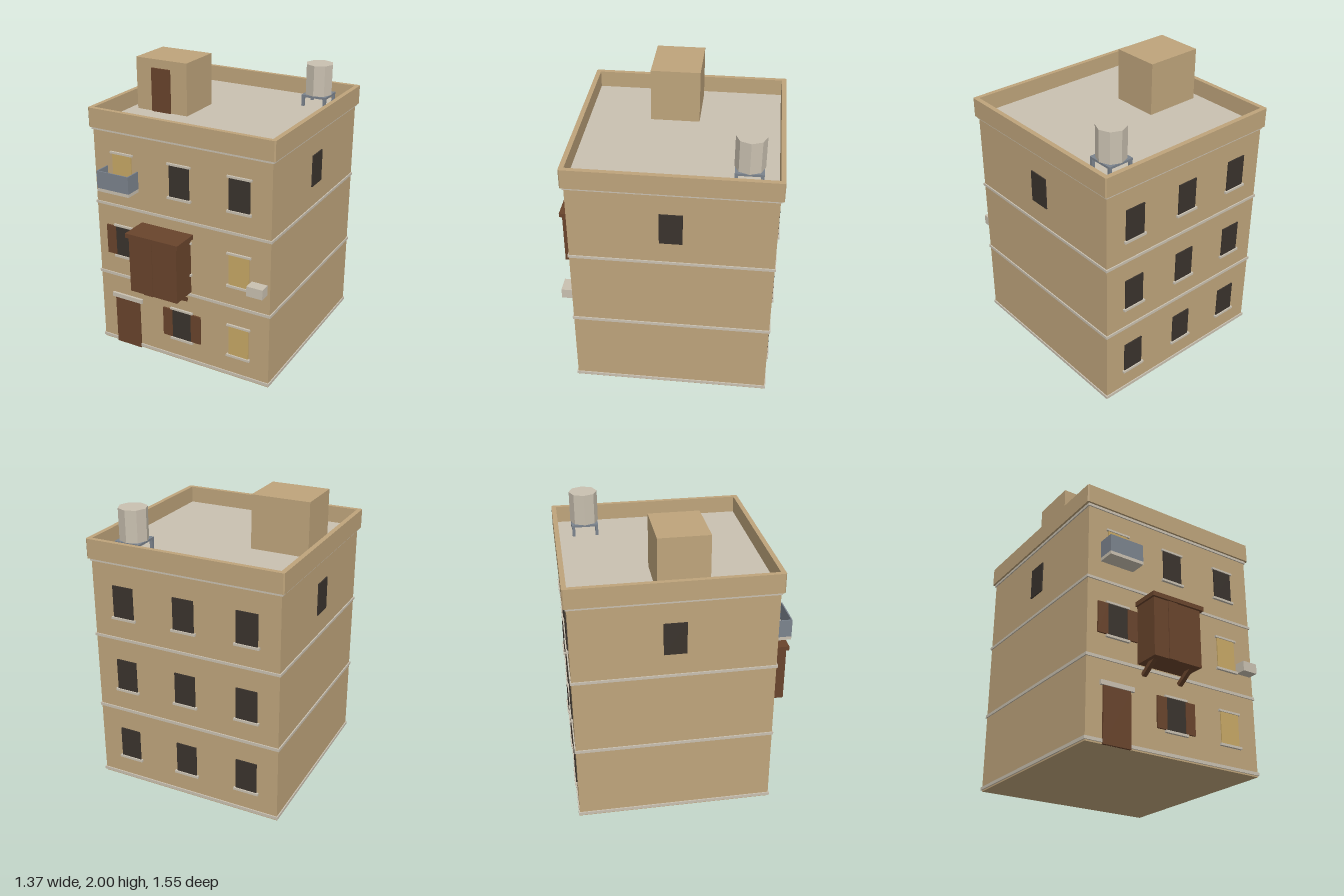
import * as THREE from 'three';

const mat = (name, color) => {
  const m = new THREE.MeshStandardMaterial({ color });
  m.name = name;
  return m;
};

export function createModel() {
  const wall = mat('sandstone wall', 0xbea47b);
  const stone = mat('pale stone', 0xc9c0b0);
  const wood = mat('brown wood', 0x69442c);
  const dark = mat('dark glass', 0x3a332d);
  const lit = mat('lit glass', 0xc7a865);
  const metal = mat('blue grey metal', 0x7b838d);

  const building = new THREE.Group();
  building.name = 'building';

  // box given by its min and max on each axis
  const box = (name, material, x0, x1, y0, y1, z0, z1, parent = building) => {
    const mesh = new THREE.Mesh(new THREE.BoxGeometry(x1 - x0, y1 - y0, z1 - z0), material);
    mesh.position.set((x0 + x1) / 2, (y0 + y1) / 2, (z0 + z1) / 2);
    mesh.name = name;
    parent.add(mesh);
    return mesh;
  };

  const CZ = -0.087, H = 0.664;            // centre depth and half width of the body
  const FRONT = CZ + H, BACK = CZ - H;

  // main block, string courses and roof deck
  box('body', wall, -H, H, 0, 1.62, BACK, FRONT);
  for (const [y0, y1] of [[0.01, 0.031], [0.536, 0.556], [1.07, 1.088], [1.6, 1.618]]) {
    box('stringCourse', stone, -0.672, 0.672, y0, y1, CZ - 0.672, CZ + 0.672);
  }
  box('roofDeck', stone, -0.66, 0.66, 1.62, 1.635, CZ - 0.66, CZ + 0.66);

  // parapet ring with slightly clipped corners
  const P = 0.686, C = 0.008, I = 0.654;
  const ring = new THREE.Shape([
    [P, P - C], [P - C, P], [C - P, P], [-P, P - C], [-P, C - P], [C - P, -P], [P - C, -P], [P, C - P],
  ].map(([x, y]) => new THREE.Vector2(x, y)));
  ring.holes.push(new THREE.Path([[-I, -I], [I, -I], [I, I], [-I, I]].map(([x, y]) => new THREE.Vector2(x, y))));
  const parapetGeo = new THREE.ExtrudeGeometry(ring, { depth: 0.132, bevelEnabled: false });
  parapetGeo.rotateX(-Math.PI / 2);
  const parapet = new THREE.Mesh(parapetGeo, wall);
  parapet.position.set(0, 1.618, CZ);
  parapet.name = 'parapet';
  building.add(parapet);

  // windows: pane with sill, optional lintel and shutters
  const ROWS = [0.175, 0.707, 1.237], COLS = [-0.442, 0, 0.44];
  const PW = 0.074, PH = 0.218;
  const frontWindow = (x, y, pane, shutters, sill = true) => {
    const g = new THREE.Group();
    g.name = 'frontWindow';
    building.add(g);
    box('pane', pane, x - PW, x + PW, y, y + PH, FRONT - 0.001, FRONT + 0.008, g);
    box('lintel', stone, x - 0.088, x + 0.088, y + PH, y + PH + 0.014, FRONT - 0.005, FRONT + 0.014, g);
    if (sill) box('sill', stone, x - 0.088, x + 0.088, y - 0.016, y, FRONT - 0.005, FRONT + 0.018, g);
    if (shutters) {
      for (const s of [-1, 1]) {
        const c = x + s * (PW + 0.037);
        box('shutter', wood, c - 0.037, c + 0.037, y + 0.003, y + PH - 0.002, FRONT - 0.002, FRONT + 0.012, g);
      }
    }
  };
  frontWindow(COLS[1], ROWS[0], dark, true);
  frontWindow(COLS[2], ROWS[0], lit, false);
  frontWindow(COLS[0], ROWS[1], dark, true);
  frontWindow(COLS[1], ROWS[1], dark, false);
  frontWindow(COLS[2], ROWS[1], lit, false);
  frontWindow(COLS[0], ROWS[2], lit, false, false);
  frontWindow(COLS[1], ROWS[2], dark, false);
  frontWindow(COLS[2], ROWS[2], dark, false);

  for (const y of ROWS) {
    for (const x of COLS) {
      box('backPane', dark, x - PW, x + PW, y, y + PH, BACK - 0.008, BACK + 0.001);
      box('backSill', stone, x - 0.088, x + 0.088, y - 0.016, y, BACK - 0.017, BACK + 0.005);
    }
  }
  for (const s of [-1, 1]) {
    const x = s * (H + 0.0035);
    box('sidePane', dark, x - 0.0045, x + 0.0045, ROWS[2], ROWS[2] + 0.221, CZ - 0.075, CZ + 0.075);
  }

  // street door
  box('door', wood, -0.546, -0.346, 0, 0.368, FRONT - 0.005, FRONT + 0.012);
  box('doorLintel', stone, -0.568, -0.322, 0.367, 0.398, FRONT - 0.005, FRONT + 0.018);

  // small balcony: slab and three panels
  const BX0 = -0.57, BX1 = -0.32, BZ = 0.693;
  box('balconySlab', stone, BX0, BX1, 1.214, 1.237, FRONT - 0.005, BZ);
  box('balconyFront', metal, BX0, BX1, 1.237, 1.358, BZ - 0.008, BZ);
  box('balconySide', metal, BX0, BX0 + 0.008, 1.237, 1.358, FRONT, BZ - 0.008);
  box('balconySide', metal, BX1 - 0.008, BX1, 1.237, 1.358, FRONT, BZ - 0.008);

  // projecting wooden bay on slanted brackets
  box('bay', wood, -0.288, 0.077, 0.567, 0.966, FRONT - 0.005, 0.758);
  box('bayPanel', wood, -0.178, -0.108, 0.567, 0.966, 0.757, 0.764);
  box('bayRoof', wood, -0.303, 0.097, 0.966, 0.997, FRONT - 0.005, 0.774);
  for (const x of [-0.245, 0.035]) {
    const bracket = new THREE.Mesh(new THREE.BoxGeometry(0.03, 0.028, 0.15), wood);
    bracket.position.set(x, 0.543, 0.643);
    bracket.rotation.x = -0.58;
    bracket.name = 'bayBracket';
    building.add(bracket);
  }

  // wall cooling unit
  box('coolingUnit', stone, 0.532, 0.646, 0.7, 0.77, FRONT - 0.005, 0.653);

  // stair hut on the roof
  box('stairHut', wall, -0.6, -0.2, 1.63, 2, -0.19, 0.143);
  box('stairHutDoor', wood, -0.476, -0.328, 1.635, 1.94, 0.14, 0.154);

  // water tank on a four-legged stand
  const TX = 0.46, TZ = -0.554, T = 0.091;
  const tank = new THREE.Mesh(new THREE.CylinderGeometry(0.097, 0.097, 0.215, 8), stone);
  tank.geometry = tank.geometry.toNonIndexed();
  tank.geometry.computeVertexNormals();
  tank.position.set(TX, 1.8225, TZ);
  tank.name = 'waterTank';
  building.add(tank);
  box('tankPlatform', metal, TX - T, TX + T, 1.7, 1.715, TZ - T, TZ + T);
  for (const sx of [-1, 1]) {
    for (const sz of [-1, 1]) {
      const x = TX + sx * 0.08, z = TZ + sz * 0.08;
      box('tankLeg', metal, x - 0.01, x + 0.01, 1.63, 1.7, z - 0.01, z + 0.01);
    }
  }

  return building;
}
